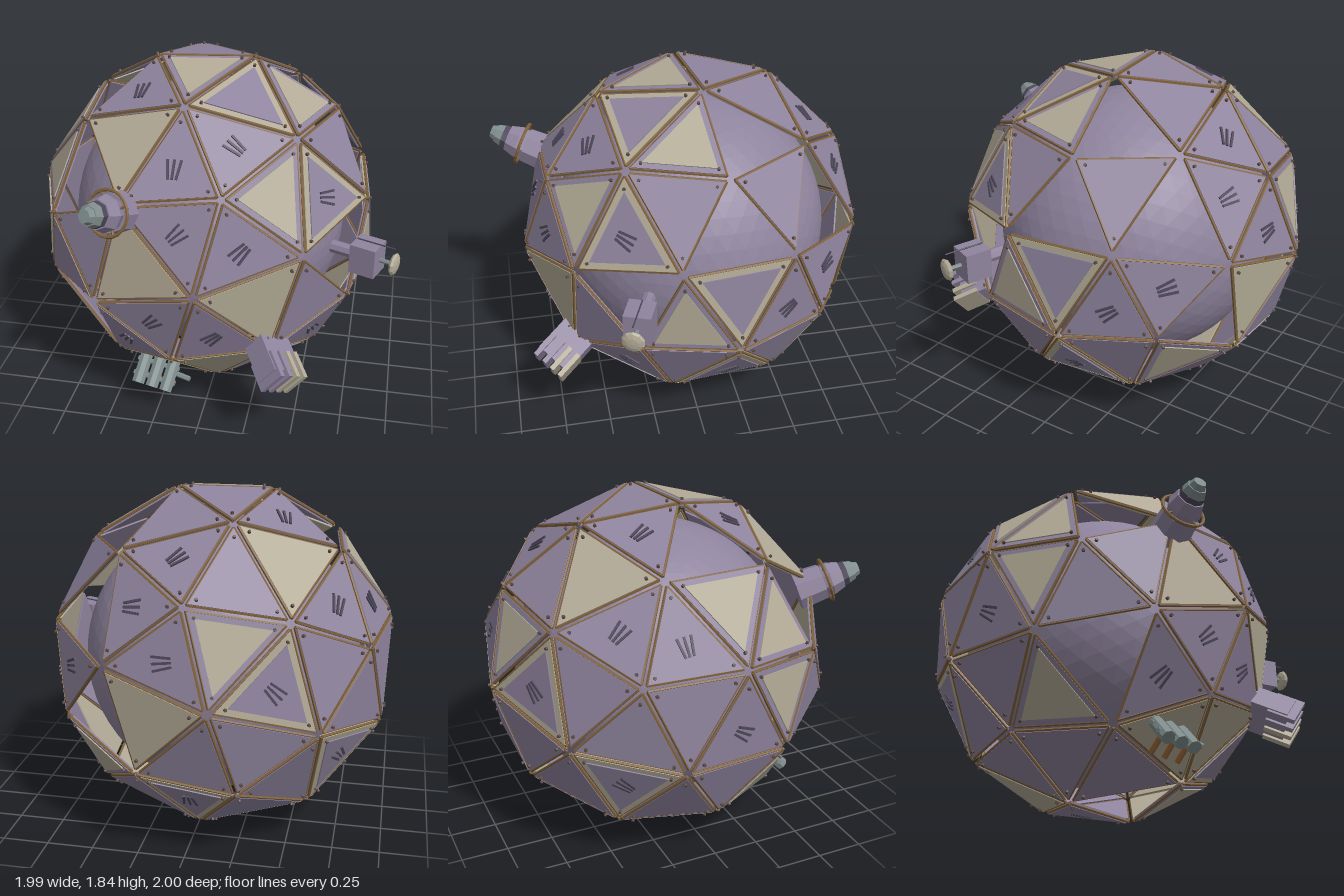
import * as THREE from 'three';
import { mergeGeometries } from 'three/addons/utils/BufferGeometryUtils.js';

const V = (x, y, z) => new THREE.Vector3(x, y, z);
const UP = V(0, 1, 0);
const CENTER = V(-0.08, 0.925, -0.065);
const R = 0.95;

const material = (name, color) => {
  const m = new THREE.MeshStandardMaterial({ color });
  m.name = name;
  return m;
};

// Flat-faced copy holding only positions and normals, so parts can be merged
function flat(geo) {
  const g = geo.index ? geo.toNonIndexed() : geo;
  g.deleteAttribute('uv');
  g.computeVertexNormals();
  return g;
}

// Triangular plate; corners run counter-clockwise seen from outside
function plate(corners, normal, depth) {
  const low = corners.map(p => p.clone().addScaledVector(normal, -depth));
  const pts = [...corners, low[2], low[1], low[0]];
  for (let i = 0; i < 3; i++) {
    const j = (i + 1) % 3;
    pts.push(corners[i], low[i], low[j], corners[i], low[j], corners[j]);
  }
  const g = new THREE.BufferGeometry().setFromPoints(pts);
  g.computeVertexNormals();
  return g;
}

// Places a geometry so its local y follows one direction and its x another
function place(geo, pos, yDir, xHint = V(1, 0, 0)) {
  const y = yDir.clone().normalize();
  const z = V(0, 0, 0).crossVectors(xHint, y).normalize();
  const x = V(0, 0, 0).crossVectors(y, z);
  return flat(geo).applyMatrix4(new THREE.Matrix4().makeBasis(x, y, z).setPosition(pos));
}

// Round bar between two points
function bar(p, q, r, sides = 5) {
  const d = q.clone().sub(p);
  const hint = Math.abs(d.y) > 0.9 * d.length() ? V(1, 0, 0) : UP;
  return place(new THREE.CylinderGeometry(r, r, d.length(), sides), p.clone().add(q).multiplyScalar(0.5), d, hint);
}

// Twenty large faces, each split in four: three corner panels, then the middle.
// p plain, v vents, c cream, i cream inset, j purple inset, w purple inset with vents, . open
const FACES = [
  [0, 11, 5, 'v.vc'], [0, 5, 1, 'ivij'], [0, 1, 7, 'p.vp'], [0, 7, 10, 'vpvc'], [0, 10, 11, '.vii'],
  [1, 5, 9, 'pi.w'], [5, 11, 4, 'vpvc'], [11, 10, 2, 'ippv'], [10, 7, 6, 'pipw'], [7, 1, 8, 'vpv.'],
  [3, 9, 4, 'ivcj'], [3, 4, 2, '.cpp'], [3, 2, 6, 'vppc'], [3, 6, 8, 'pwip'], [3, 8, 9, 'cppw'],
  [4, 9, 5, 'vpvc'], [2, 4, 11, 'ivp.'], [6, 2, 10, 'pppw'], [8, 6, 7, '.pvc'], [9, 8, 1, 'iv.j'],
];

export function createModel() {
  const root = new THREE.Group();
  root.name = 'panelledSphere';
  const purple = material('dusty purple', 0x8f849e);
  const cream = material('warm cream', 0xb3ab97);
  const brown = material('bronze brown', 0x80623c);
  const bolt = material('dark bolt brown', 0x5e4c44);
  const slot = material('dark slot grey', 0x4e485a);
  const steel = material('green grey steel', 0x7f8d8c);
  const copper = material('copper', 0x9a6a3c);

  const add = (name, geos, mat, parent = root) => {
    const mesh = new THREE.Mesh(Array.isArray(geos) ? mergeGeometries(geos) : geos, mat);
    mesh.name = name;
    parent.add(mesh);
  };
  const group = name => {
    const g = new THREE.Group();
    g.name = name;
    root.add(g);
    return g;
  };

  // Inner core
  const core = flat(new THREE.IcosahedronGeometry(0.75, 9));
  add('innerCore', core.translate(CENTER.x, CENTER.y, CENTER.z), purple);

  // Tilted axes of the panel grid and its twelve main corners
  const a = V(0.1, -0.01, 0.995).normalize();
  const v = V(0, 0, 0).crossVectors(V(0.26, 0.965, -0.016), a).normalize();
  const u = V(0, 0, 0).crossVectors(a, v);
  const t = (1 + Math.sqrt(5)) / 2;
  const corners = [
    [-1, t, 0], [1, t, 0], [-1, -t, 0], [1, -t, 0], [0, -1, t], [0, 1, t],
    [0, -1, -t], [0, 1, -t], [t, 0, -1], [t, 0, 1], [-t, 0, -1], [-t, 0, 1],
  ].map(([x, y, z]) => V(0, 0, 0).addScaledVector(v, x).addScaledVector(u, y).addScaledVector(a, z).normalize());
  const onShell = (dir, r = R) => CENTER.clone().addScaledVector(dir, r);
  const mid = (p, q) => p.clone().add(q).normalize();

  const parts = { purple: [], cream: [], purpleInset: [], creamInset: [], frame: [], bolts: [], vents: [] };

  function panel(dirs, type) {
    if (type === '.') return;
    const tri = dirs.map(d => onShell(d));
    const c = tri[0].clone().add(tri[1]).add(tri[2]).divideScalar(3);
    const n = tri[1].clone().sub(tri[0]).cross(tri[2].clone().sub(tri[0])).normalize();
    const scaled = (s, lift) => tri.map(p => c.clone().lerp(p, s).addScaledVector(n, lift));
    const creamBase = 'cjw'.includes(type);
    parts[creamBase ? 'cream' : 'purple'].push(plate(scaled(0.885, 0), n, 0.026));
    if (type === 'i') parts.creamInset.push(plate(scaled(0.71, 0.006), n, 0.007));
    if (type === 'j' || type === 'w') parts.purpleInset.push(plate(scaled(0.69, 0.006), n, 0.007));
    // Edge bars and corner bolts
    const rim = scaled(0.905, -0.01);
    rim.forEach((p, i) => parts.frame.push(bar(p, rim[(i + 1) % 3], 0.008)));
    scaled(0.73, 0.006).forEach(p =>
      parts.bolts.push(place(new THREE.CylinderGeometry(0.008, 0.009, 0.014, 6), p, n, dirs[0].clone().cross(n))));
    // Three slanted vent slots, pointing to the last corner
    if (type === 'v' || type === 'w') {
      const along = tri[2].clone().sub(c).normalize();
      const side = n.clone().cross(along);
      const lift = type === 'w' ? 0.012 : 0.006;
      for (let k = -1; k <= 1; k++) {
        const dir = along.clone().addScaledVector(side, 0.15 * k);
        const pos = c.clone().addScaledVector(side, 0.028 * k).addScaledVector(n, lift);
        parts.vents.push(place(new THREE.BoxGeometry(0.1, 0.008, 0.012), pos, n, dir));
      }
    }
  }

  for (const [i, j, k, types] of FACES) {
    const [A, B, C] = [corners[i], corners[j], corners[k]];
    const AB = mid(A, B), BC = mid(B, C), CA = mid(C, A);
    [[AB, CA, A], [B, BC, AB], [BC, C, CA], [AB, BC, CA]].forEach((d, s) => panel(d, types[s]));
  }
  add('purplePanels', parts.purple, purple);
  add('creamPanels', parts.cream, cream);
  add('purpleInsets', parts.purpleInset, purple);
  add('creamInsets', parts.creamInset, cream);
  add('panelFrames', parts.frame, brown);
  add('panelBolts', parts.bolts, bolt);
  add('ventSlots', parts.vents, slot);

  // Stepped turret pointing up and forward
  const turret = group('turret');
  const tDir = V(-0.317, 0.35, 0.88).normalize();
  const tPoint = l => V(-0.36, 1.275, 0.7).addScaledVector(tDir, l);
  const stack = (name, r0, r1, from, to, mat) =>
    add(name, place(new THREE.CylinderGeometry(r1, r0, to - from, 8), tPoint((from + to) / 2), tDir), mat, turret);
  stack('turretBase', 0.11, 0.1, -0.03, 0.12, purple);
  stack('turretCollar', 0.085, 0.095, 0.12, 0.16, purple);
  stack('turretNeck', 0.095, 0.075, 0.16, 0.225, purple);
  stack('turretBand', 0.068, 0.066, 0.225, 0.255, slot);
  stack('turretNose', 0.064, 0.052, 0.255, 0.295, steel);
  stack('turretTip', 0.046, 0.034, 0.295, 0.325, steel);
  const ring = new THREE.TorusGeometry(0.115, 0.009, 6, 20).rotateX(Math.PI / 2);
  add('turretRing', place(ring, tPoint(0.14), tDir), brown, turret);
  const side = V(1, 0, 0).cross(tDir).normalize();
  add('turretRingStubs', [0.4, 1.97, 3.54, 5.11].map(angle => {
    const out = side.clone().applyAxisAngle(tDir, angle);
    return bar(tPoint(0.14).addScaledVector(out, 0.08), tPoint(0.14).addScaledVector(out, 0.115), 0.007);
  }), brown, turret);

  // Dish unit on the side
  const dishUnit = group('dishUnit');
  const dDir = V(0.93, 0, 0.37).normalize();
  const dBox = V(0.825, 0.95, 0.36);
  const fromBox = (d, y = 0) => dBox.clone().addScaledVector(dDir, d).add(V(0, y, 0));
  add('dishBox', place(new THREE.BoxGeometry(0.16, 0.14, 0.14), dBox, dDir, UP), purple, dishUnit);
  add('dishMount', bar(fromBox(-0.2), fromBox(-0.07), 0.035, 8), purple, dishUnit);
  add('dishStem', bar(fromBox(0.07), fromBox(0.14), 0.012, 6), steel, dishUnit);
  add('dish', place(new THREE.SphereGeometry(0.06, 10, 6).scale(1, 0.35, 1), fromBox(0.15), dDir, UP), cream, dishUnit);
  add('dishAntenna', bar(fromBox(-0.06, 0.088), fromBox(0.15, 0.088), 0.004), slot, dishUnit);

  // Finned cooler at the lower front
  const cooler = group('finnedCooler');
  const cDir = mid(corners[9], corners[4]);
  const cSide = V(0.62, -0.45, -0.65).normalize();
  const coolerBox = (w, h, d, off, r) =>
    place(new THREE.BoxGeometry(w, h, d), onShell(cDir, r).addScaledVector(cSide, off), cDir, cSide);
  const fins = offsets => offsets.map(o => coolerBox(0.026, 0.15, 0.16, o, 1.08));
  add('coolerBody', coolerBox(0.2, 0.22, 0.13, -0.01, 1), purple, cooler);
  add('coolerFins', fins([-0.09, -0.03]), purple, cooler);
  add('coolerPaleFins', fins([0.025, 0.08]), cream, cooler);

  // Gas bottles standing out from the lower front, with nozzles below
  const bottles = group('gasBottles');
  const gDir = V(-0.18, -0.72, 0.67).normalize();
  const gAxis = V(0.05, -0.68, -0.73).normalize();
  const gSide = gDir.clone().cross(gAxis).normalize();
  const gPoint = (s, l, r) => onShell(gDir, r).addScaledVector(gSide, s).addScaledVector(gAxis, l);
  const rows = [-0.08, 0, 0.08];
  add('bottles', rows.map(s => bar(gPoint(s, -0.02, 0.88), gPoint(s, -0.02, 1.06), 0.036, 8)), steel, bottles);
  add('bottleNozzles', rows.map(s => bar(gPoint(s, 0.01, 1), gPoint(s, 0.1, 1), 0.016, 6)), copper, bottles);
  add('bottleStraps', [0.93, 1.01].map(r => bar(gPoint(-0.12, -0.02, r), gPoint(0.12, -0.02, r), 0.014, 6)), steel, bottles);
  const pipeSide = Math.sign(gSide.x);
  add('feedPipe', bar(gPoint(pipeSide * 0.05, 0, 0.95), gPoint(pipeSide * 0.19, -0.01, 0.96), 0.015, 6), steel, bottles);

  return root;
}
